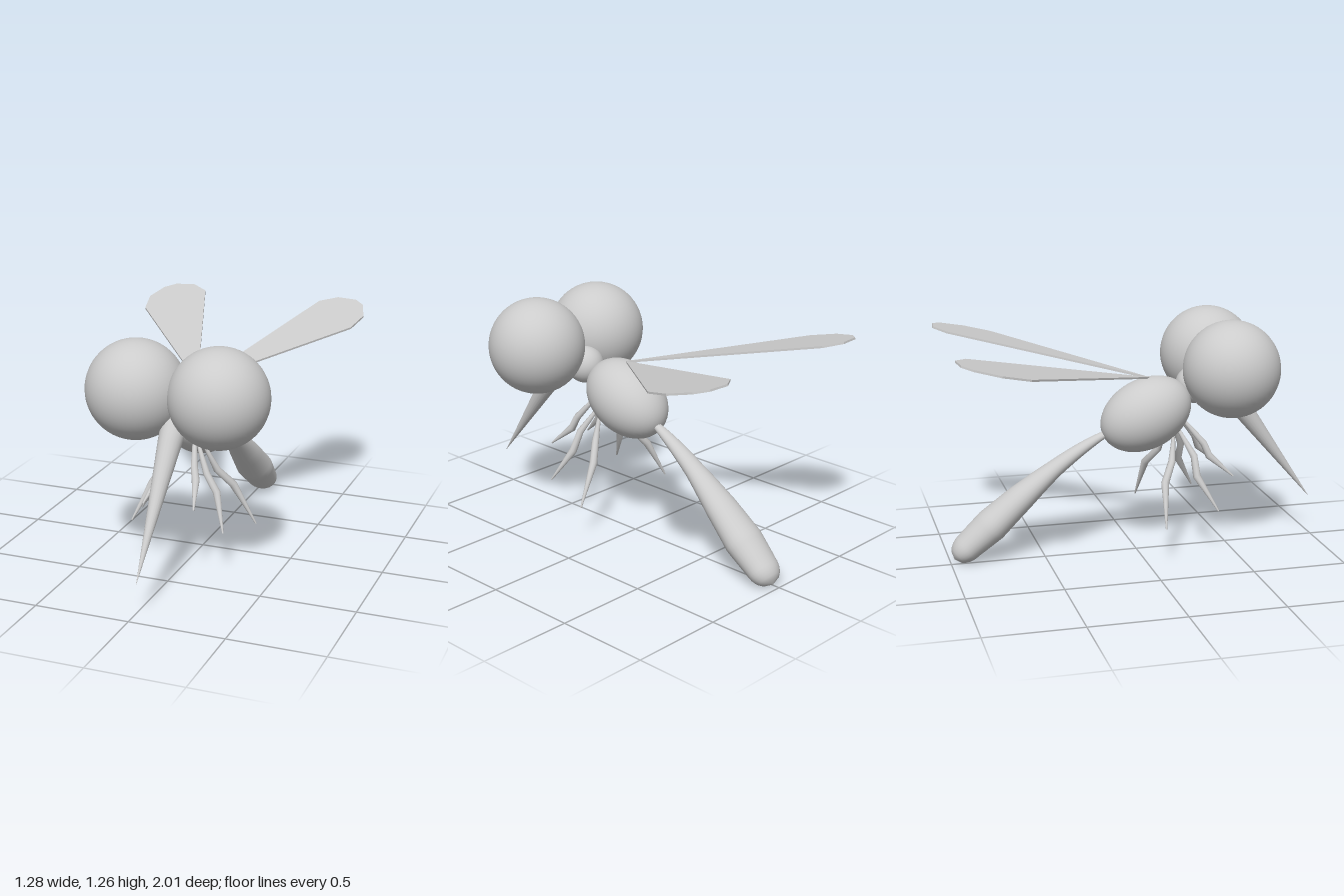
import * as THREE from 'three';

const material = new THREE.MeshStandardMaterial({ color: 0xcccccc });

function add(parent, name, geometry, position = [0, 0, 0]) {
  const mesh = new THREE.Mesh(geometry, material);
  mesh.name = name;
  mesh.position.set(...position);
  parent.add(mesh);
  return mesh;
}

// Skins elliptical rings placed along a path; widths is the stretch along x
function loft(points, radii, sides, widen = 1) {
  const positions = [], index = [];
  points.forEach((p, i) => {
    const before = points[Math.max(i - 1, 0)];
    const after = points[Math.min(i + 1, points.length - 1)];
    const t = after.clone().sub(before).normalize();
    const u = new THREE.Vector3(1, 0, 0).addScaledVector(t, -t.x).normalize();
    const v = t.clone().cross(u);
    for (let j = 0; j < sides; j++) {
      const a = (j / sides) * Math.PI * 2;
      const q = p.clone()
        .addScaledVector(u, Math.cos(a) * radii[i] * widen)
        .addScaledVector(v, Math.sin(a) * radii[i]);
      positions.push(q.x, q.y, q.z);
      if (i < points.length - 1) {
        const k = (j + 1) % sides, r = i * sides, s = r + sides;
        index.push(r + j, r + k, s + k, r + j, s + k, s + j);
      }
    }
  });
  const geometry = new THREE.BufferGeometry();
  geometry.setAttribute('position', new THREE.Float32BufferAttribute(positions, 3));
  geometry.setIndex(index);
  geometry.computeVertexNormals();
  return geometry;
}

const vec = (p) => new THREE.Vector3(...p);

// Leg joints for the model's left side: distance from the middle, y, z
const legs = {
  frontLeg: [[0.03, 0.73, 0.23], [0.05, 0.695, 0.26], [0.083, 0.585, 0.35], [0.1, 0.52, 0.375], [0.137, 0.408, 0.5]],
  middleLeg: [[0.04, 0.69, 0.2], [0.065, 0.64, 0.23], [0.125, 0.53, 0.285], [0.18, 0.435, 0.285], [0.252, 0.257, 0.385]],
  rearLeg: [[0.06, 0.68, 0.18], [0.09, 0.61, 0.18], [0.135, 0.51, 0.16], [0.205, 0.42, 0.105], [0.325, 0.205, 0.08]],
};

// Wing outline for the left side: x, then distance behind the root
const wingOutline = [[0, 0], [0.608, 0.755], [0.638, 0.902], [0.6, 1.032], [0.545, 1.088], [0.437, 1.1], [0.345, 1.035]];

export function createModel() {
  const model = new THREE.Group();
  model.name = 'mosquito';

  // Head: two huge eyes meeting in the middle, and a neck
  for (const [name, x] of [['leftEye', 0.265], ['rightEye', -0.175]]) {
    add(model, name, new THREE.SphereGeometry(0.255, 48, 32), [x, 1.003, 0.468]);
  }
  add(model, 'neck', new THREE.SphereGeometry(0.1, 32, 20), [0.045, 0.88, 0.33]);

  // Needle mouth
  add(model, 'proboscis', loft(
    [[0.045, 0.93, 0.45], [0.045, 0.928, 0.452], [0.045, 0.775, 0.57], [0.045, 0.205, 1]].map(vec),
    [0, 0.073, 0.06, 0.001], 20));

  // Thorax: an egg with its front end raised
  const thorax = add(model, 'thorax', new THREE.SphereGeometry(1, 48, 32), [0.006, 0.745, 0.055]);
  thorax.scale.set(0.186, 0.185, 0.255);
  thorax.rotation.x = -0.45;

  // Abdomen: thin at the waist, swelling to a rounded tail
  const spine = new THREE.CatmullRomCurve3([
    [0.01, 0.665, -0.12], [0.012, 0.64, -0.18], [0.014, 0.578, -0.29], [0.016, 0.476, -0.44],
    [0.019, 0.332, -0.62], [0.021, 0.193, -0.78], [0.023, 0.09, -0.9], [0.024, 0.018, -0.98]].map(vec));
  const girth = [0.014, 0.02, 0.032, 0.046, 0.072, 0.088, 0.075, 0];
  const rings = 42, path = [], radii = [];
  for (let i = 0; i <= rings; i++) {
    const t = i / rings, f = t * 7, k = Math.min(Math.floor(f), 6);
    path.push(spine.getPoint(t));
    const blend = f - k;
    // The last stretch closes like a dome
    radii.push(k === 6 ? girth[6] * Math.sqrt(Math.max(0, 1 - blend * blend))
      : THREE.MathUtils.lerp(girth[k], girth[k + 1], blend));
  }
  add(model, 'abdomen', loft(path, radii, 28, 1.24));

  for (const [side, s] of [['left', 1], ['right', -1]]) {
    // Flat wing sloping up towards the back
    const shape = new THREE.Shape(wingOutline.map(([x, y]) => new THREE.Vector2(s * x, y)));
    const wing = new THREE.ExtrudeGeometry(shape, { depth: 0.01, bevelEnabled: false });
    wing.translate(0, 0, -0.005).rotateX(-Math.PI / 2 + 0.221);
    add(model, side + 'Wing', wing, [-0.002, 0.94, 0.07]);

    // Jointed legs tapering to points
    for (const [name, joints] of Object.entries(legs)) {
      const points = joints.map(([x, y, z]) => new THREE.Vector3(0.006 + s * x, y, z));
      add(model, side + name[0].toUpperCase() + name.slice(1),
        loft(points, [0.01, 0.011, 0.019, 0.021, 0.004], 10));
    }
  }
  return model;
}
